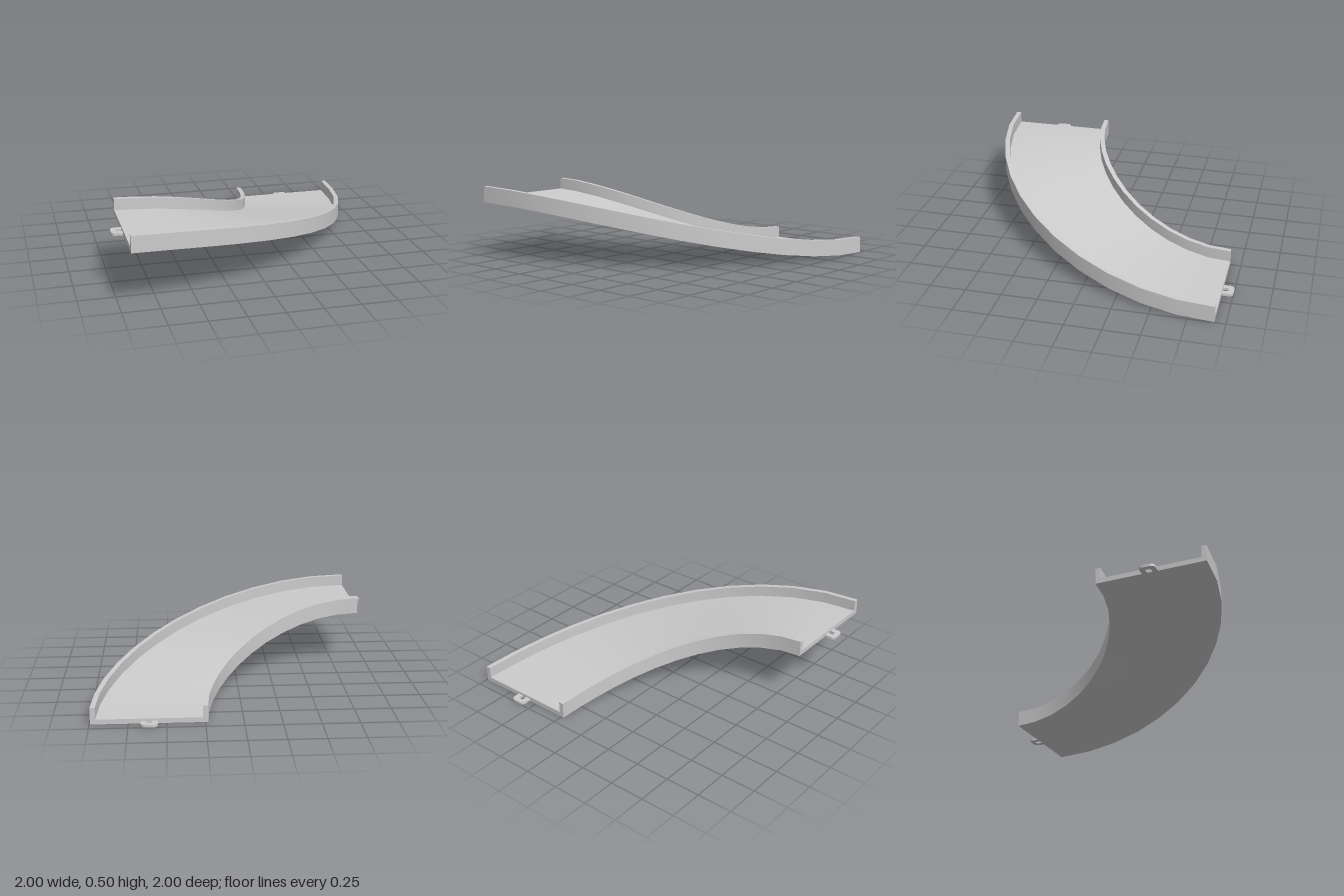
import * as THREE from 'three';
import { toCreasedNormals } from 'three/addons/utils/BufferGeometryUtils.js';

const CENTRE = -0.925; // arc centre, same on x and z
const R_IN = 1.157, R_OUT = 1.92, WALL = 0.034;
const RISE = 0.39, DECK = 0.033, WALL_H = 0.113, SEGMENTS = 12;

const ease = (t) => t * t * (3 - 2 * t);

// Sweeps a counter-clockwise (radius, height) section along the rising quarter turn.
function sweep(section) {
  const n = section.length, pos = [], index = [];
  for (let i = 0; i <= SEGMENTS; i++) {
    const t = i / SEGMENTS, a = t * Math.PI / 2;
    for (const [r, y] of section) {
      pos.push(CENTRE + r * Math.cos(a), y + RISE * ease(t), CENTRE + r * Math.sin(a));
    }
  }
  for (let i = 0; i < SEGMENTS; i++) {
    for (let j = 0; j < n; j++) {
      const a = i * n + j, b = i * n + (j + 1) % n;
      index.push(a, b, b + n, a, b + n, a + n);
    }
  }
  // End caps
  const last = SEGMENTS * n;
  const tris = THREE.ShapeUtils.triangulateShape(section.map(([x, y]) => new THREE.Vector2(x, y)), []);
  for (const [a, b, c] of tris) index.push(a, c, b, last + a, last + b, last + c);
  const g = new THREE.BufferGeometry();
  g.setAttribute('position', new THREE.Float32BufferAttribute(pos, 3));
  g.setIndex(index);
  return toCreasedNormals(g, 0.6);
}

// Flat U-shaped loop that reaches out towards -z.
function loopGeometry() {
  const w = 0.055, d = 0.075, r = 0.03, hw = 0.018, hd = 0.04;
  const s = new THREE.Shape();
  s.moveTo(-w, 0);
  s.lineTo(-hw, 0);
  s.lineTo(-hw, hd);
  s.lineTo(hw, hd);
  s.lineTo(hw, 0);
  s.lineTo(w, 0);
  s.lineTo(w, d - r);
  s.absarc(w - r, d - r, r, 0, Math.PI / 2);
  s.absarc(-w + r, d - r, r, Math.PI / 2, Math.PI);
  s.closePath();
  const g = new THREE.ExtrudeGeometry(s, { depth: 0.017, bevelEnabled: false, curveSegments: 5 });
  return toCreasedNormals(g.rotateX(-Math.PI / 2), 0.6);
}

export function createModel() {
  const group = new THREE.Group();
  group.name = 'curvedRamp';
  const material = new THREE.MeshStandardMaterial({ color: 0xcccccc });
  const add = (name, geometry) => {
    const mesh = new THREE.Mesh(geometry, material);
    mesh.name = name;
    group.add(mesh);
    return mesh;
  };

  // Deck and both side walls share one channel section
  add('rampChannel', sweep([
    [R_IN, 0], [R_OUT, 0], [R_OUT, WALL_H], [R_OUT - WALL, WALL_H],
    [R_OUT - WALL, DECK], [R_IN + WALL, DECK], [R_IN + WALL, WALL_H], [R_IN, WALL_H],
  ]));

  // Connector loops in the middle of each end
  const mid = CENTRE + (R_IN + R_OUT) / 2;
  add('lowerConnectorLoop', loopGeometry()).position.set(mid, 0, CENTRE);
  const upper = add('upperConnectorLoop', loopGeometry());
  upper.rotation.y = Math.PI / 2;
  upper.position.set(CENTRE, RISE, mid);

  return group;
}
